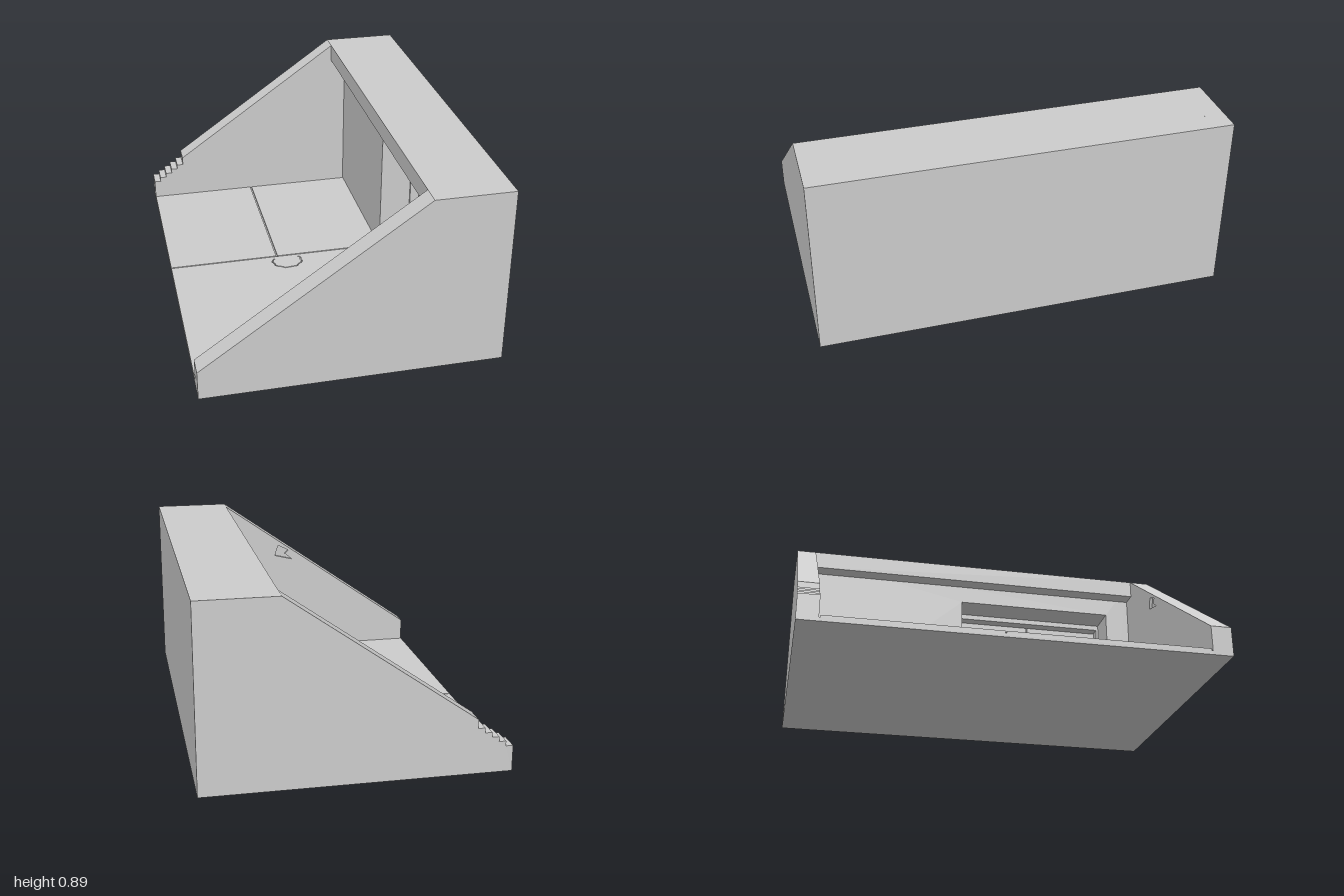
import * as THREE from 'three';

const material = new THREE.MeshStandardMaterial({ color: 0xcccccc, flatShading: true });
const smooth = new THREE.MeshStandardMaterial({ color: 0xcccccc });

const toShape = (pts) => new THREE.Shape(pts.map(([a, b]) => new THREE.Vector2(a, b)));
const toPath = (pts) => new THREE.Path(pts.map(([a, b]) => new THREE.Vector2(a, b)));
const rect = (a0, a1, b0, b1) => [[a0, b0], [a1, b0], [a1, b1], [a0, b1]];
const extrude = (shape, depth) => new THREE.ExtrudeGeometry(shape, { depth, bevelEnabled: false });

export function createModel() {
  const root = new THREE.Group();
  const X = 0.72, CREST = 0.34, WALL = 0.42, TOP = 0.89, LOW = 0.145, FLOOR = 0.03;

  function add(name, geometry, parent = root, mat = material) {
    const mesh = new THREE.Mesh(geometry, mat);
    mesh.name = name;
    parent.add(mesh);
    return mesh;
  }
  // Box given by its bounds
  function box(name, x0, x1, y0, y1, z0, z1, parent = root) {
    const mesh = add(name, new THREE.BoxGeometry(x1 - x0, y1 - y0, z1 - z0), parent);
    mesh.position.set((x0 + x1) / 2, (y0 + y1) / 2, (z0 + z1) / 2);
    return mesh;
  }

  // Sloping side walls
  const profile = [[-X, 0], [X, 0], [X, TOP], [CREST, TOP]];
  const plain = [...profile, [-X, LOW]];
  add('leftWall', extrude(toShape(plain), 0.085)).position.z = 0.915;
  const chipped = toShape(plain);
  chipped.holes.push(toPath([[0.04, 0.65], [-0.02, 0.62], [0, 0.6], [-0.04, 0.565], [0.06, 0.59]]));
  add('leftWallChippedFace', extrude(chipped, 0.015)).position.z = 0.9;

  // The right wall ends in five small steps
  const stepped = [...profile, [-0.55, LOW + 0.17 * 0.703]];
  for (let i = 4; i >= 0; i--) {
    const y = 0.125 + i * 0.024, x = -X + i * 0.034;
    stepped.push([x + 0.034, y], [x, y]);
  }
  add('steppedRightWall', extrude(toShape(stepped), 0.1)).position.z = -1;

  // Floor slab with tiles separated by narrow grooves
  box('floorBase', -X, X, 0, 0.02, -0.9, 0.9);
  box('floorTile', -X, -0.154, 0.02, FLOOR, -0.893, -0.08);
  box('floorTile', -0.146, WALL, 0.02, FLOOR, -0.893, -0.08);
  const tile = toShape(rect(-X, WALL, -0.893, 0.073));
  tile.holes.push(toPath(rect(-0.154, -0.146, -0.885, -0.27)));
  // Shallow jagged crack ring beside the groove crossing
  const ring = [];
  for (let i = 0; i <= 16; i++) {
    const a = 0.55 - i / 16 * (Math.PI + 1.1);
    ring.push([a, 0.08 + 0.005 * Math.sin(i * 2.3)]);
  }
  const at = ([a, r], s) => [-0.105 + Math.cos(a) * (r + s), 0.02 + Math.sin(a) * (r + s) * 0.85];
  tile.holes.push(toPath([...ring.map((p) => at(p, 0)), ...ring.slice().reverse().map((p) => at(p, -0.006))]));
  add('largeFloorTile', extrude(tile, FLOOR - 0.02).rotateX(-Math.PI / 2)).position.y = 0.02;

  // Back wall with a deep doorway, and the overhang along its top
  const Z0 = -0.07, Z1 = 0.77, HEAD = 0.707;
  const wall = toShape([[-0.9, 0], [-Z1, 0], [-Z1, HEAD], [-Z0, HEAD], [-Z0, 0], [0.9, 0], [0.9, TOP], [-0.9, TOP]]);
  add('backWall', extrude(wall, 0.22).rotateY(Math.PI / 2)).position.x = WALL;
  box('rearSlab', 0.64, X, 0, TOP, -0.9, 0.9);
  box('overhang', CREST, WALL, 0.8, TOP, -0.9, 0.9);

  // Door set in the recess
  const door = new THREE.Group();
  door.name = 'door';
  root.add(door);
  const mid = (Z0 + Z1) / 2;
  box('doorSill', 0.58, 0.64, 0.02, 0.05, Z0, Z1, door);
  box('doorHeader', 0.58, 0.64, 0.68, HEAD, Z0, Z1, door);
  box('doorJamb', 0.58, 0.64, 0.05, 0.68, Z0, Z0 + 0.012, door);
  box('doorJamb', 0.58, 0.64, 0.05, 0.68, Z1 - 0.012, Z1, door);

  // Plates with seams, above a fluted lower band
  const seams = [0.16, 0.28, 0.4, 0.48, 0.58, 0.68];
  for (let i = 0; i < seams.length - 1; i++) {
    for (const [a, b] of [[Z0 + 0.012, mid - 0.004], [mid + 0.004, Z1 - 0.012]]) {
      box('doorPlate', 0.628, 0.64, seams[i] + 0.004, seams[i + 1] - 0.004, a, b, door);
    }
  }
  for (let i = 0; i < 24; i++) {
    const z = Z0 + 0.022 + i * 0.0335;
    box('doorFlute', 0.622, 0.64, 0.05, 0.14, z, z + 0.02, door);
  }

  // Locking bars with collars, joined by an upright
  function rod(name, r, length, y, z, upright) {
    const g = new THREE.CylinderGeometry(r, r, length, 16);
    if (!upright) g.rotateX(Math.PI / 2);
    add(name, g, door, smooth).position.set(0.605, y, z);
  }
  for (const y of [0.23, 0.52]) {
    rod('lockBar', 0.012, Z1 - Z0 - 0.024, y, mid);
    for (const s of [-1, 1]) {
      rod('barCollar', 0.018, 0.1, y, mid + s * 0.2);
      rod('barSocket', 0.018, 0.06, y, mid + s * 0.375);
      box('barBracket', 0.6, 0.64, y - 0.022, y + 0.022, mid + s * 0.29 - 0.012, mid + s * 0.29 + 0.012, door);
    }
    box('barHub', 0.582, 0.63, y - 0.025, y + 0.025, mid - 0.025, mid + 0.025, door);
  }
  rod('lockUpright', 0.016, 0.42, 0.375, mid, true);

  return root;
}
